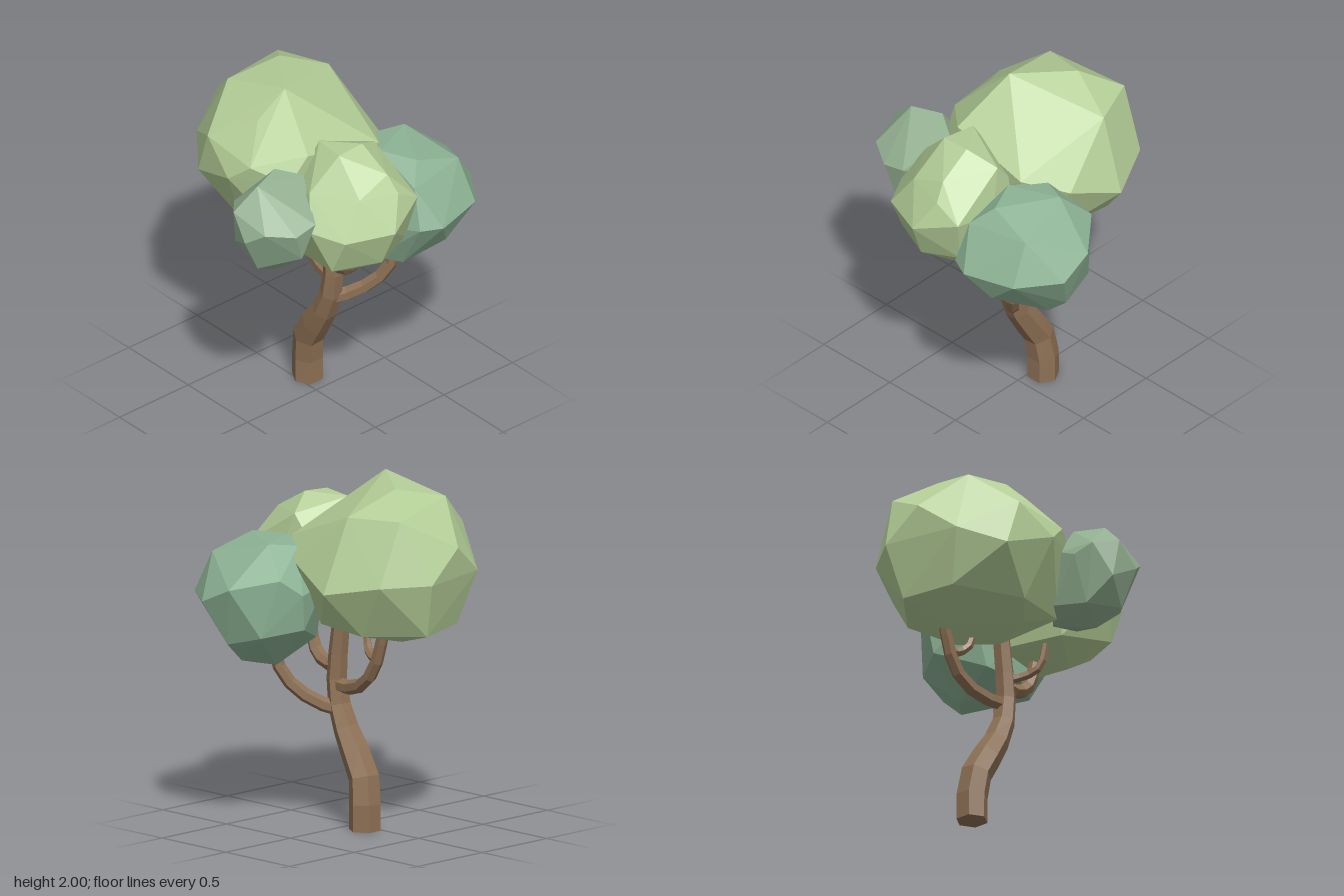
import * as THREE from 'three';
import { ConvexGeometry } from 'three/addons/geometries/ConvexGeometry.js';

const mat = (color) => new THREE.MeshStandardMaterial({ color, flatShading: true });
const vectors = (points) => points.map((p) => new THREE.Vector3(...p));

// Faceted clump of leaves: the hull around a few corner points
function clump(name, color, points) {
  const mesh = new THREE.Mesh(new ConvexGeometry(vectors(points)), mat(color));
  mesh.name = name;
  return mesh;
}

// Tapered six-sided limb along a smooth path; radii are spread evenly over its length
function limb(name, material, points, radii, segments) {
  const sides = 6;
  const path = new THREE.CatmullRomCurve3(vectors(points));
  const geometry = new THREE.TubeGeometry(path, segments, 1, sides, false);
  const pos = geometry.attributes.position;
  const v = new THREE.Vector3();
  for (let i = 0; i <= segments; i++) {
    const t = i / segments;
    const centre = path.getPointAt(t);
    const f = t * (radii.length - 1);
    const k = Math.min(Math.floor(f), radii.length - 2);
    const r = THREE.MathUtils.lerp(radii[k], radii[k + 1], f - k);
    for (let j = 0; j <= sides; j++) {
      const n = i * (sides + 1) + j;
      v.fromBufferAttribute(pos, n).sub(centre).multiplyScalar(r).add(centre);
      // the foot of the trunk is cut level with the ground
      if (i === 0 && points[0][1] === 0) v.y = 0;
      pos.setXYZ(n, v.x, v.y, v.z);
    }
  }
  const mesh = new THREE.Mesh(geometry, material);
  mesh.name = name;
  return mesh;
}

export function createModel() {
  const tree = new THREE.Group();
  tree.name = 'tree';
  const bark = mat(0x8e7155);
  bark.side = THREE.DoubleSide;

  // Trunk, with a closed foot
  tree.add(limb('trunk', bark,
    [[0.06, 0, -0.14], [0.06, 0.14, -0.14], [0.045, 0.3, -0.115], [0.035, 0.45, -0.02], [0.03, 0.62, 0.075],
      [0.03, 0.8, 0.11], [0.03, 1.0, 0.095], [0.03, 1.25, 0.06]],
    [0.09, 0.09, 0.084, 0.068, 0.058, 0.053, 0.048], 9));
  const foot = new THREE.Mesh(new THREE.CircleGeometry(0.09, 6), bark);
  foot.name = 'trunkFoot';
  foot.rotation.x = Math.PI / 2;
  foot.position.set(0.06, 0.001, -0.14);
  tree.add(foot);

  // Branches reaching into the leaf clumps
  const branches = {
    leftBranch: [[0.02, 0.64, 0.08], [0.13, 0.69, 0.18], [0.23, 0.8, 0.285], [0.275, 0.92, 0.335], [0.28, 1.1, 0.35]],
    backBranch: [[0.03, 0.78, 0.1], [0.06, 0.79, -0.05], [0.09, 0.85, -0.18], [0.1, 0.97, -0.27], [0.1, 1.2, -0.34]],
    backTwig: [[0.1, 0.99, -0.28], [0.09, 1.01, -0.21], [0.06, 1.06, -0.16], [0.05, 1.2, -0.14]],
    frontBranch: [[0.025, 0.89, 0.1], [0.025, 0.89, 0.2], [0.02, 0.96, 0.29], [0.01, 1.15, 0.34]],
    rightTwig: [[0.02, 0.94, 0.13], [-0.06, 0.96, 0.18], [-0.13, 1.0, 0.21], [-0.16, 1.15, 0.23]],
  };
  for (const [name, points] of Object.entries(branches)) {
    const r = name.endsWith('Twig') ? 0.024 : 0.038;
    tree.add(limb(name, bark, points, [r * 1.15, r, r * 0.85], 6));
  }

  // Leaf clumps
  tree.add(clump('mainCanopy', 0xb5cf98, [
    [-0.15, 2.0, -0.09], [0.08, 1.97, -0.4], [0.36, 1.84, -0.31], [0.24, 1.84, -0.6], [-0.22, 1.9, -0.49],
    [-0.07, 1.67, -0.74], [0.15, 1.49, -0.76], [0.38, 1.48, -0.58], [0.52, 1.42, -0.28], [0.43, 1.54, 0.03],
    [0.25, 1.64, 0.24], [-0.25, 1.75, 0.22], [-0.32, 1.85, -0.12], [-0.48, 1.7, -0.36], [-0.53, 1.55, -0.13],
    [-0.47, 1.43, -0.45], [-0.29, 1.5, -0.67], [0.1, 1.18, -0.67], [-0.2, 1.2, -0.6], [0.32, 1.17, -0.38],
    [0.0, 1.09, -0.37], [-0.05, 1.08, -0.03], [0.28, 1.18, -0.02], [-0.38, 1.2, -0.2], [-0.2, 1.3, 0.2],
    [0.16, 1.3, 0.19], [-0.37, 1.6, 0.2], [-0.33, 1.2, 0.13], [-0.27, 1.13, -0.08], [-0.48, 1.66, 0.0],
  ]));
  tree.add(clump('frontCanopy', 0xb5cf98, [
    [-0.18, 1.81, 0.4], [-0.01, 1.82, 0.4], [0.15, 1.73, 0.32], [-0.15, 1.8, 0.2], [-0.21, 1.63, 0.61],
    [0.0, 1.71, 0.6], [0.02, 1.61, 0.67], [-0.08, 1.43, 0.76], [-0.35, 1.42, 0.65], [-0.44, 1.44, 0.46],
    [-0.36, 1.62, 0.36], [0.17, 1.52, 0.66], [0.19, 1.47, 0.4], [0.13, 1.25, 0.6], [-0.1, 1.21, 0.67],
    [-0.36, 1.2, 0.55], [0.07, 1.08, 0.44], [-0.15, 1.06, 0.43], [-0.3, 1.14, 0.2], [0.1, 1.16, 0.15],
    [-0.32, 1.5, 0.15], [0.15, 1.5, 0.13],
  ]));
  tree.add(clump('rightCanopy', 0x92af90, [
    [-0.61, 1.7, 0.21], [-0.43, 1.71, 0.15], [-0.29, 1.65, 0.23], [-0.71, 1.5, 0.39], [-0.42, 1.5, 0.48],
    [-0.56, 1.47, 0.48], [-0.77, 1.43, 0.29], [-0.75, 1.57, 0.17], [-0.65, 1.55, 0.06], [-0.54, 1.5, 0.03],
    [-0.42, 1.55, 0.04], [-0.72, 1.36, 0.15], [-0.5, 1.3, 0.46], [-0.67, 1.22, 0.28], [-0.52, 1.13, 0.24],
    [-0.35, 1.17, 0.27], [-0.57, 1.22, 0.1], [-0.36, 1.25, 0.06], [-0.25, 1.45, 0.25], [-0.28, 1.18, 0.15],
  ]));
  tree.add(clump('leftCanopy', 0x8db395, [
    [0.3, 1.63, 0.5], [0.21, 1.63, 0.3], [0.49, 1.63, 0.18], [0.33, 1.61, 0.11], [0.57, 1.55, 0.54],
    [0.2, 1.53, 0.6], [0.75, 1.4, 0.23], [0.76, 1.31, 0.43], [0.59, 1.31, 0.66], [0.29, 1.3, 0.74],
    [0.17, 1.3, 0.68], [0.57, 1.46, 0.01], [0.46, 1.37, -0.06], [0.43, 1.17, -0.04], [0.2, 1.4, 0.02],
    [0.67, 1.07, 0.32], [0.4, 1.13, 0.63], [0.55, 0.96, 0.33], [0.43, 0.94, 0.18], [0.2, 1.0, 0.5],
    [0.1, 1.02, 0.38], [0.18, 1.07, 0.12], [0.07, 1.25, 0.4], [0.63, 1.13, 0.1],
  ]));
  return tree;
}
